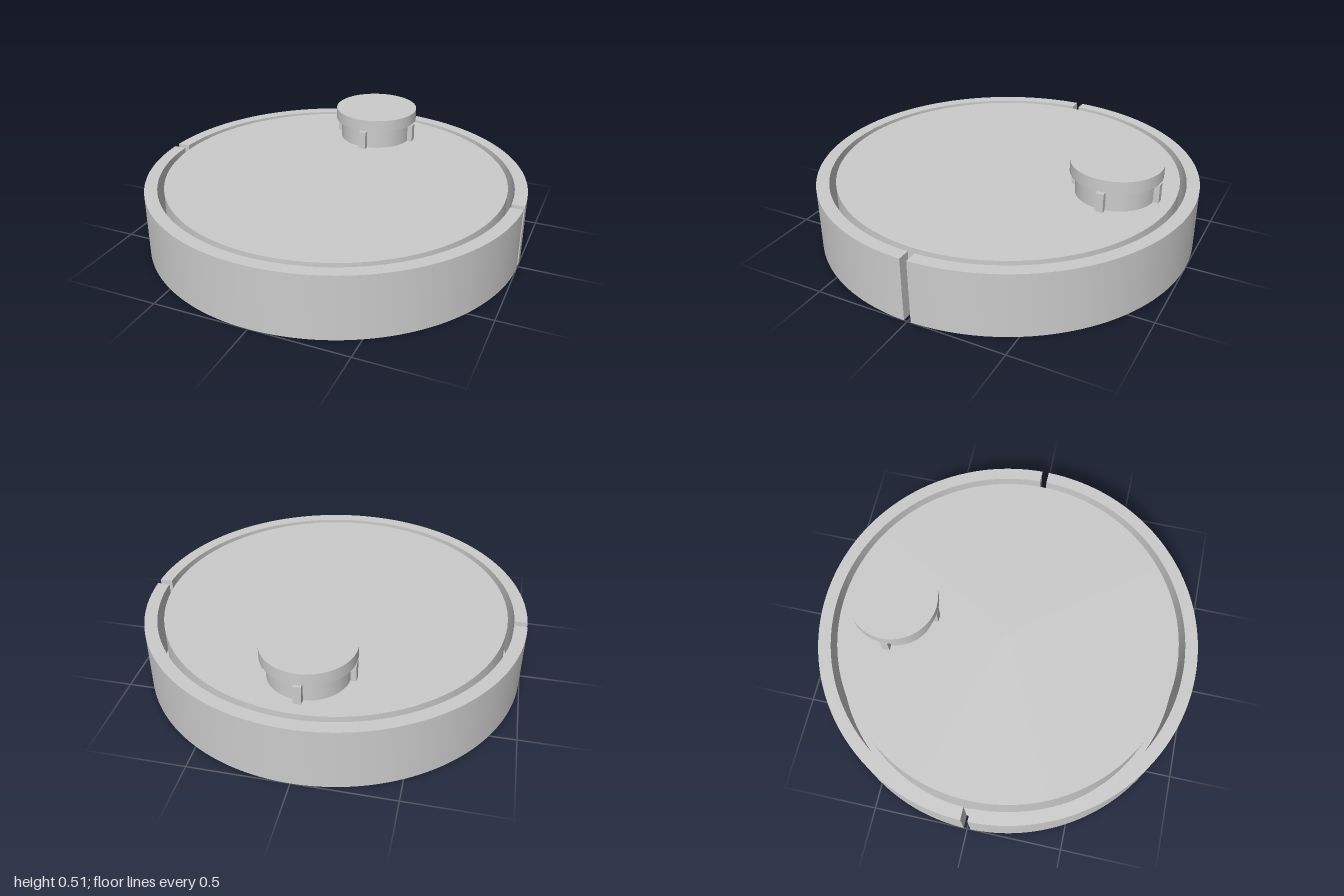
import * as THREE from 'three';
import { toCreasedNormals } from 'three/addons/utils/BufferGeometryUtils.js';

const HEIGHT = 0.333, FLOOR = 0.015;
const RING_OUT = 1, RING_IN = 0.934, DISC_R = 0.9;
const SLOT = 0.018; // half width of the side slots
const KNOB_Z = -0.604;

const material = new THREE.MeshStandardMaterial({ color: 0xcccccc });

function part(name, geometry, parent) {
  const mesh = new THREE.Mesh(geometry, material);
  mesh.name = name;
  parent.add(mesh);
  return mesh;
}

function lathe(points, segments) {
  const profile = points.map(([r, y]) => new THREE.Vector2(r, y));
  return toCreasedNormals(new THREE.LatheGeometry(profile, segments), 0.5);
}

// Half of the outer ring, ending at the slots on the left and right
function halfRingGeometry() {
  const a = Math.asin(SLOT / RING_OUT), b = Math.asin(SLOT / RING_IN);
  const shape = new THREE.Shape();
  shape.absarc(0, 0, RING_OUT, a, Math.PI - a, false);
  shape.absarc(0, 0, RING_IN, Math.PI - b, b, true);
  shape.closePath();
  const geometry = new THREE.ExtrudeGeometry(shape, {
    depth: HEIGHT, bevelEnabled: false, curveSegments: 72,
  });
  geometry.rotateX(-Math.PI / 2);
  return toCreasedNormals(geometry, 0.5);
}

export function createModel() {
  const model = new THREE.Group();
  model.name = 'slottedDiscWithKnob';

  // Inner disc on a thin floor that closes the circular groove
  part('innerDisc', lathe([
    [0, 0], [RING_IN, 0], [RING_IN, FLOOR], [DISC_R, FLOOR], [DISC_R, HEIGHT], [0, HEIGHT],
  ], 128), model);

  // Two half rings, front and back
  const half = halfRingGeometry();
  part('backHalfRing', half, model);
  part('frontHalfRing', half, model).rotation.y = Math.PI;

  // Knob near the back edge: neck, flat cap and four ribs
  const knob = new THREE.Group();
  knob.name = 'knob';
  knob.position.set(0, HEIGHT, KNOB_Z);
  model.add(knob);

  part('knobNeckAndCap', lathe([
    [0, 0], [0.202, 0], [0.202, 0.112], [0.232, 0.112], [0.232, 0.175], [0, 0.175],
  ], 72), knob);

  const rib = new THREE.BoxGeometry(0.04, 0.098, 0.04);
  rib.translate(0, 0.049, 0.21);
  for (let i = 0; i < 4; i++) {
    part('knobRib', rib, knob).rotation.y = i * Math.PI / 2;
  }

  return model;
}
